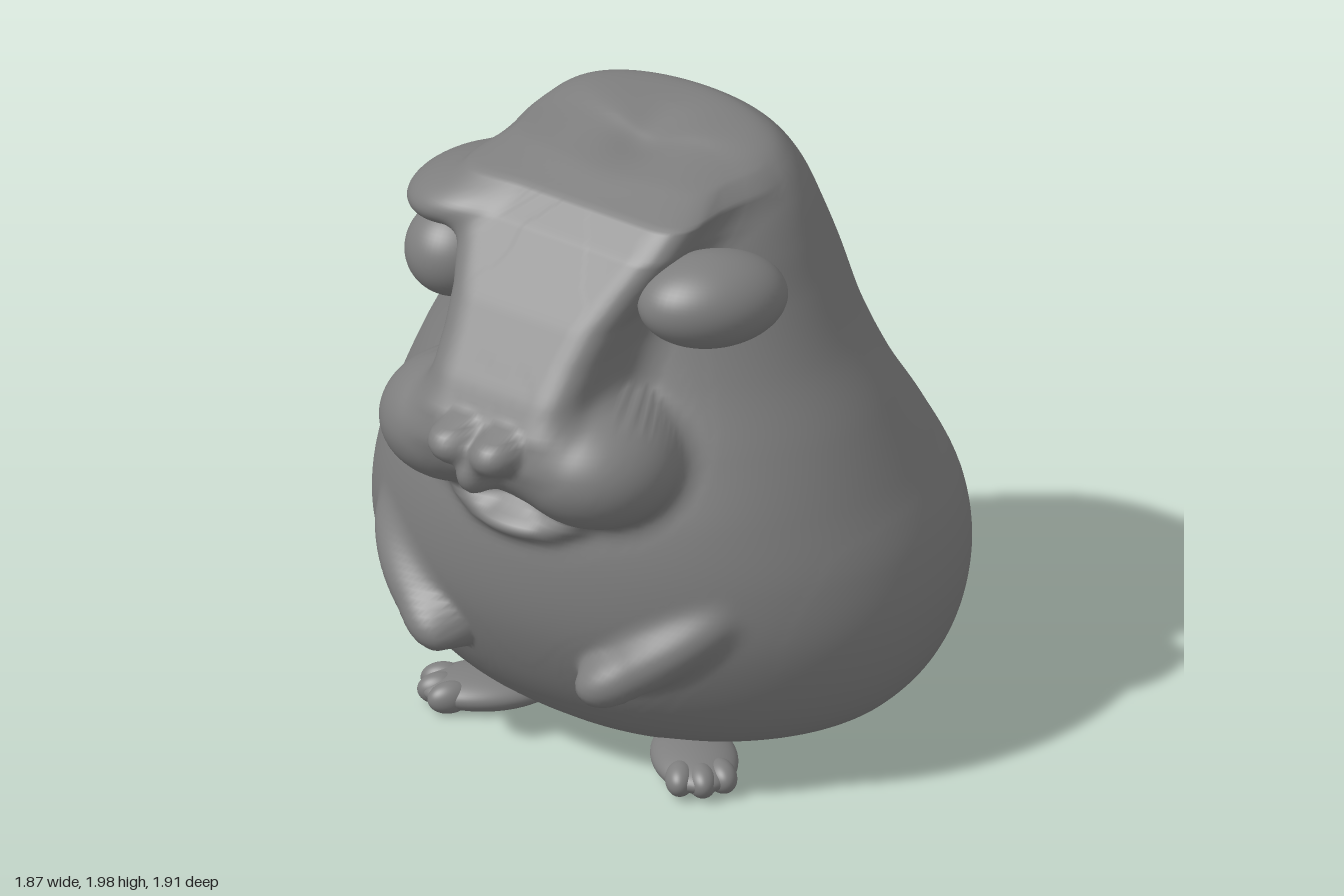
import * as THREE from 'three';

const material = new THREE.MeshStandardMaterial({ color: 0x7e7e7e });

// Smooth minimum and maximum, used to melt shapes into each other
const smin = (a, b, k) => {
  const h = Math.max(k - Math.abs(a - b), 0) / k;
  return Math.min(a, b) - h * h * k * 0.25;
};
const smax = (a, b, k) => -smin(-a, -b, k);

// Body rows: [y, half width, front z, back z, widest z]
const bodyRows = [
  [0.035, 0, 0.05, 0.05, 0.05],
  [0.04, 0.3, 0.2, -0.32, -0.02],
  [0.06, 0.46, 0.28, -0.56, -0.08],
  [0.1, 0.61, 0.35, -0.73, -0.1],
  [0.2, 0.79, 0.48, -0.86, -0.1],
  [0.35, 0.89, 0.59, -0.935, -0.1],
  [0.55, 0.935, 0.67, -0.96, -0.1],
  [0.75, 0.915, 0.69, -0.92, -0.1],
  [0.95, 0.84, 0.66, -0.815, -0.08],
  [1.15, 0.755, 0.57, -0.685, -0.06],
  [1.35, 0.655, 0.48, -0.605, -0.05],
  [1.55, 0.58, 0.41, -0.55, -0.05],
  [1.7, 0.53, 0.38, -0.49, -0.05],
  [1.82, 0.48, 0.34, -0.43, -0.07],
  [1.91, 0.42, 0.27, -0.365, -0.09],
  [1.965, 0.34, 0.08, -0.3, -0.12],
  [1.99, 0.22, 0, -0.24, -0.12],
  [1.995, 0, -0.12, -0.12, -0.12],
];

// Forehead and snout bridge rows: [y, half width, front z]
const bridgeRows = [
  [1.06, 0.12, 0.74], [1.2, 0.23, 0.85], [1.3, 0.25, 0.84], [1.4, 0.265, 0.785], [1.5, 0.275, 0.715],
  [1.6, 0.295, 0.645], [1.7, 0.34, 0.565], [1.8, 0.39, 0.485], [1.88, 0.41, 0.39], [1.93, 0.36, 0.22], [2, 0, -0.2],
];
function bridgeAt(y) {
  const i = THREE.MathUtils.clamp(bridgeRows.findIndex(r => r[0] > y), 1, bridgeRows.length - 1);
  const a = bridgeRows[i - 1], b = bridgeRows[i], t = (y - a[0]) / (b[0] - a[0]);
  return [1, 2].map(c => THREE.MathUtils.lerp(a[c], b[c], t));
}

// Ellipsoid lump of flesh: centre, radii, rotation and blend width
const lump = (at, radii, rot, blend) => ({
  inverse: new THREE.Matrix4().compose(
    new THREE.Vector3(...at), new THREE.Quaternion().setFromEuler(new THREE.Euler(...rot)), new THREE.Vector3(1, 1, 1)).invert(),
  radii: new THREE.Vector3(...radii), blend,
});
const local = new THREE.Vector3();
function lumpDistance({ inverse, radii }, p) {
  local.copy(p).applyMatrix4(inverse).divide(radii);
  const k = local.length();
  return k * (k - 1) / Math.max(local.divide(radii).length(), 1e-6);
}

const lumps = [
  lump([0, 1.19, 0.66], [0.22, 0.14, 0.21], [0, 0, 0], 0.05), // muzzle
  lump([-0.4, 1.765, 0.28], [0.225, 0.095, 0.25], [0, 0, 0.2], 0.06), // heavy brow
  lump([0, 0.915, 0.63], [0.17, 0.045, 0.1], [0.1, 0, 0], 0.04), // lower lip
  lump([0, 1.165, 0.86], [0.055, 0.07, 0.07], [0, 0, 0], 0.04), // nose tip
];
for (const s of [1, -1]) {
  lumps.push(
    lump([s * 0.24, 1.17, 0.59], [0.26, 0.2, 0.26], [0, s * 0.2, -s * 0.12], 0.07), // cheek
    lump([s * 0.075, 1.245, 0.865], [0.08, 0.065, 0.085], [0, s * 0.3, s * 0.2], 0.03), // nostril
    lump([s * 0.16, 0.94, 0.6], [0.1, 0.04, 0.09], [0, s * 0.4, s * 0.25], 0.04), // corner of the lip
    lump([s * 0.45, 0.545, 0.56], [0.25, 0.085, 0.095], [0, s * 0.55, s * 0.58], 0.06), // forearm
    lump([s * 0.315, 0.45, 0.635], [0.095, 0.065, 0.08], [0, s * 0.4, s * 0.4], 0.05), // paw
  );
}

// Body skin: rings of points found by walking inward to the blended surface
function skin(steps, sides) {
  const curve = (cols) => new THREE.CatmullRomCurve3(
    bodyRows.map(r => new THREE.Vector3(...cols.map(c => r[c]))), false, 'catmullrom', 0.5);
  const frontCurve = curve([1, 0, 2]), backCurve = curve([3, 4, 0]);
  const pos = [], index = [], p = new THREE.Vector3();
  for (let i = 0; i <= steps; i++) {
    const { x: w, y, z: front } = frontCurve.getPoint(i / steps);
    const { x: back, y: mid } = backCurve.getPoint(i / steps);
    const [bw, bz] = bridgeAt(y);
    const pole = i === 0 || i === steps;
    for (let j = 0; j < sides; j++) {
      const t = (j / sides) * Math.PI * 2;
      const a = t + 0.5 * Math.cos(t); // rings are denser across the face
      const c = Math.cos(a), s = Math.sin(a);
      const ring = pole ? 0 : 1 / Math.hypot(c / w, s / (s > 0 ? front - mid : mid - back));
      let r = pole ? 0 : 1.2;
      for (let n = 0; n < 60 && r > 0; n++) {
        p.set(r * c, y, mid + r * s);
        const wedge = smax(smax(Math.abs(p.x) - bw, p.z - bz, 0.12), Math.max(-p.z, 1.08 - y), 0.06);
        let d = smin(r - ring, wedge, 0.08);
        for (const l of lumps) d = smin(d, lumpDistance(l, p), l.blend);
        if (d < 0.0008) break;
        r = Math.max(0, r - d * 0.7);
      }
      const x = r * c, z = mid + r * s;
      // Shallow hollow in the crown
      const dip = y > 1.8 ? 0.035 * Math.exp(-(((x - 0.03) / 0.1) ** 2) - ((z - 0.04) / 0.13) ** 2) : 0;
      pos.push(x, y - dip, z);
      if (i === steps) continue;
      const k = i * sides + j, n = i * sides + (j + 1) % sides;
      index.push(k, k + sides, n, n, k + sides, n + sides);
    }
  }
  const g = new THREE.BufferGeometry();
  g.setAttribute('position', new THREE.Float32BufferAttribute(pos, 3));
  g.setIndex(index);
  g.computeVertexNormals();
  return g;
}

// Ellipsoid whose underside is cut flat at a given height
function blob(parent, name, at, radii, rot = [0, 0, 0], floor = -1) {
  const g = new THREE.SphereGeometry(1, 48, 32), p = g.attributes.position;
  for (let i = 0; i < p.count; i++) p.setY(i, Math.max(p.getY(i), floor));
  g.computeVertexNormals();
  const m = new THREE.Mesh(g, material);
  m.name = name;
  m.position.set(...at);
  m.scale.set(...radii);
  m.rotation.set(...rot);
  parent.add(m);
}

export function createModel() {
  const model = new THREE.Group();

  const body = new THREE.Mesh(skin(190, 240), material);
  body.name = 'body';
  model.add(body);

  // One large bulging eye and a smaller one under the brow
  blob(model, 'leftEye', [0.475, 1.665, 0.315], [0.175, 0.145, 0.235], [-0.06, -0.5, 0.08], -0.9);
  blob(model, 'rightEye', [-0.44, 1.57, 0.36], [0.155, 0.15, 0.17]);

  // Flat feet turned outward, with small toes
  for (const side of [1, -1]) {
    const foot = new THREE.Group();
    foot.name = side > 0 ? 'leftFoot' : 'rightFoot';
    foot.position.set(side * 0.38, 0.06, 0.28);
    foot.rotation.y = side * Math.PI / 4;
    model.add(foot);
    blob(foot, 'sole', [0, 0, 0], [0.13, 0.06, 0.21], [0, 0, 0], -0.85);
    for (const t of [-1, 0, 1]) {
      blob(foot, 'toe', [t * 0.062, 0, 0.15 - Math.abs(t) * 0.02], [0.045, 0.05, 0.07], [0, t * 0.2, 0]);
    }
  }
  return model;
}
